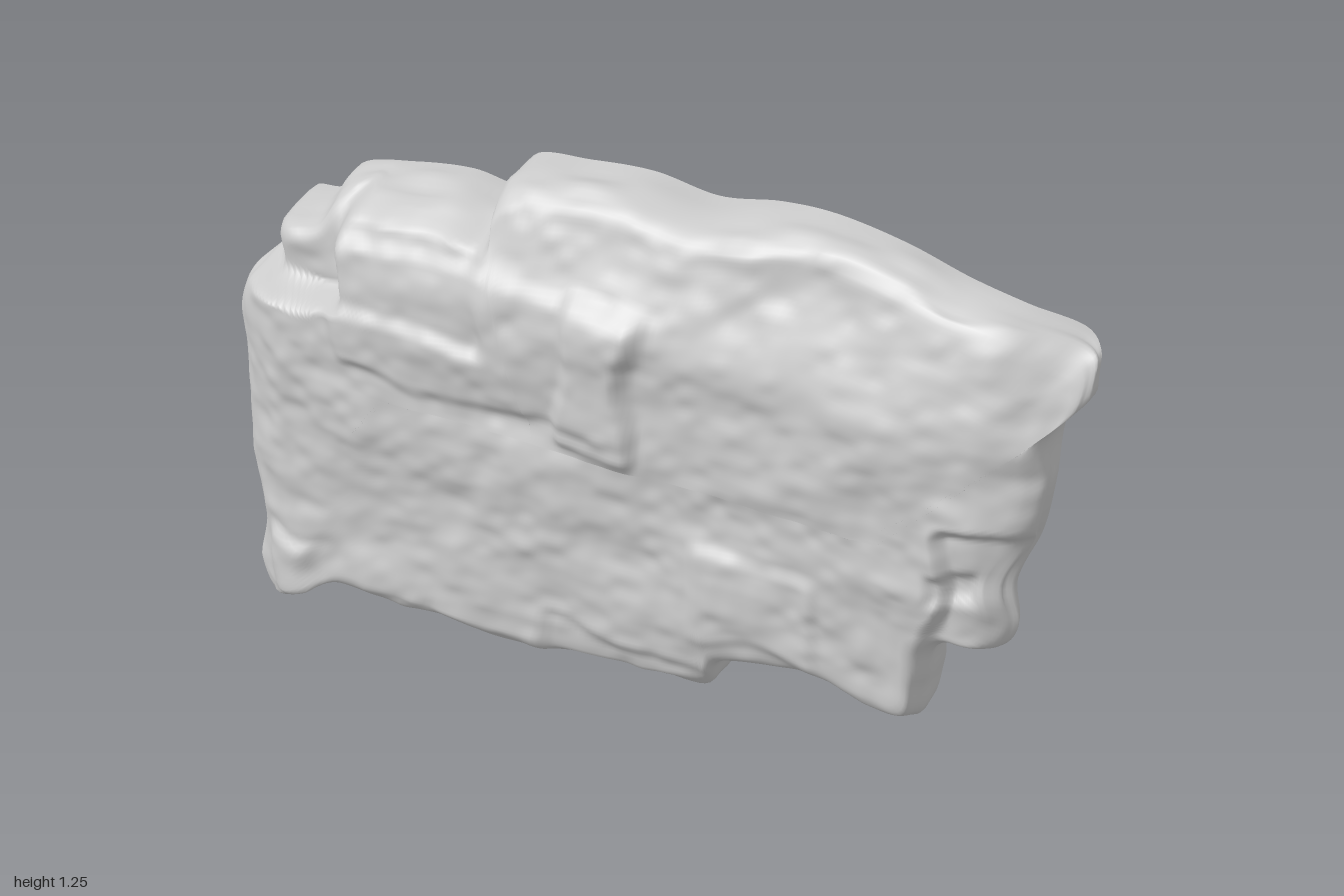
import * as THREE from 'three';

// Rear rim of the rock face, counter-clockwise from the lower tip: [x, y, z]
const RIM = [
  [-0.94, 0, 0.06], [-0.84, 0.04, 0.05], [-0.75, 0.09, 0.03], [-0.55, 0.08, 0.02], [-0.33, 0.07, 0.02],
  [-0.1, 0.09, 0.01], [0.1, 0.1, 0], [0.2, 0.12, 0], [0.23, 0.19, 0.01], [0.3, 0.22, 0.02],
  [0.45, 0.24, 0.04], [0.69, 0.21, 0.03], [0.71, 0.3, -0.01], [0.72, 0.39, 0],
  [0.78, 0.42, 0.03], [0.86, 0.43, 0.03], [0.89, 0.5, 0.04], [0.88, 0.6, 0.04], [0.92, 0.72, 0.02],
  [0.94, 0.85, 0.02], [0.94, 0.98, -0.02], [1, 1.06, -0.01], [1, 1.13, -0.02], [0.95, 1.15, -0.08],
  [0.83, 1.19, -0.05], [0.7, 1.21, -0.06], [0.55, 1.24, -0.08], [0.38, 1.255, -0.1], [0.25, 1.24, -0.12],
  [0.1, 1.21, -0.13], [-0.05, 1.23, -0.13], [-0.2, 1.22, -0.13], [-0.35, 1.19, -0.14], [-0.36, 1.11, -0.14],
  [-0.5, 1.12, -0.14], [-0.65, 1.1, -0.14], [-0.78, 1.07, -0.13], [-0.83, 1, -0.13], [-0.93, 0.96, -0.16],
  [-0.94, 0.88, -0.17], [-0.97, 0.85, -0.1], [-1, 0.8, -0.02], [-0.99, 0.6, 0.05], [-0.99, 0.4, 0.06],
  [-0.97, 0.2, 0.05], [-0.99, 0.06, 0.06],
];

const step = (a, b, v) => THREE.MathUtils.smoothstep(v, a, b);

// Seeded value noise in -1..1
const hash = (i, j) => {
  const s = Math.sin(i * 127.1 + j * 311.7 + 5.3) * 43758.5453;
  return (s - Math.floor(s)) * 2 - 1;
};
function noise(x, y) {
  const i = Math.floor(x), j = Math.floor(y);
  const u = step(0, 1, x - i), v = step(0, 1, y - j);
  const { lerp } = THREE.MathUtils;
  return lerp(lerp(hash(i, j), hash(i + 1, j), u), lerp(hash(i, j + 1), hash(i + 1, j + 1), u), v);
}
const rough = (x, y) =>
  0.011 * noise(x * 5, y * 7) + 0.006 * noise(x * 12 + 9, y * 16) + 0.003 * noise(x * 26, y * 32 + 4);

// A soft-edged rectangular patch: 1 inside, 0 outside, with a wobbly border
function patch(x, y, x0, x1, y0, y1, e = 0.02) {
  const px = x + 0.03 * noise(x * 7 + 3, y * 7), py = y + 0.025 * noise(x * 6, y * 6 + 8);
  return step(x0 - e, x0 + e, px) * (1 - step(x1 - e, x1 + e, px)) *
    step(y0 - e, y0 + e, py) * (1 - step(y1 - e, y1 + e, py));
}

// Depth of the weathered front
function frontZ(x, y) {
  let z = 0.135 + 0.012 * step(0.1, 0.5, x);
  z -= 0.09 * step(0.92, 1.22, y);                         // top leans back
  z -= 0.07 * step(0.78, 1, x) + 0.05 * step(0.85, 1, -x); // ends turn back
  z -= 0.09 * patch(x, y, -1.2, -0.7, 0.86, 1.4);          // set-back shelf, upper left
  z -= 0.02 * patch(x, y, -0.7, -0.36, 0.86, 1.4);         // middle shelf
  z -= 0.03 * patch(x, y, -0.72, -0.36, 1.08, 1.4);
  z += 0.012 * patch(x, y, -0.72, 0.02, 0.72, 1.02);       // overhanging course
  z += 0.02 * patch(x, y, -0.15, 0.03, 0.67, 1.04);        // projecting block
  z += 0.012 * patch(x, y, 0.2, 0.46, 0.28, 0.5);          // lower slab
  z -= 0.035 * patch(x, y, 0.74, 1.1, 0.35, 0.74);         // broken right edge
  z -= 0.02 * patch(x, y, 0.7, 0.82, 0.55, 0.62);
  z += 0.02 * patch(x, y, -0.92, -0.8, 0.05, 0.2);         // foot at the lower tip
  z -= 0.015 * patch(x, y, -0.2, 0.2, 0.05, 0.2);
  return z + rough(x, y);
}

// Open rock shell made of rings from the rear rim, round the edge, to a middle spine
function rockFace() {
  const N = 400, WALL = 14, INNER = 50, EDGE = 0.06;
  const curve = new THREE.CatmullRomCurve3(RIM.map(p => new THREE.Vector3(...p)), true, 'centripetal');
  curve.arcLengthDivisions = 1500;
  const rim = curve.getSpacedPoints(N).slice(0, N);
  const pos = [], index = [];
  for (let j = 0; j <= WALL + INNER; j++) {
    rim.forEach((p, i) => {
      const dx = p.x * 0.6 - p.x, dy = 0.65 - p.y;
      const w = EDGE / Math.hypot(dx, dy);
      const a = Math.min(j / WALL, 1) * Math.PI / 2;
      const k = j <= WALL ? w * (1 - Math.cos(a)) ** 1.3 : w + (1 - w) * (j - WALL) / INNER;
      const rise = Math.sin(a) ** 0.9;
      // ragged strata on the turned edge
      const chip = Math.sin(2 * a) * 0.012 * noise(i * 0.12, j * 0.35);
      const s = k + chip * w / EDGE;
      const x = p.x + dx * s, y = Math.max(0, p.y + dy * s);
      pos.push(THREE.MathUtils.clamp(x, -1, 1), y, p.z + (frontZ(x, y) - p.z) * rise);
    });
  }
  for (let j = 0; j < WALL + INNER; j++) {
    for (let i = 0; i < N; i++) {
      const n = (i + 1) % N, a = j * N + i, b = j * N + n;
      index.push(a, b, b + N, a, b + N, a + N);
    }
  }
  const geo = new THREE.BufferGeometry();
  geo.setAttribute('position', new THREE.Float32BufferAttribute(pos, 3));
  geo.setIndex(index);
  geo.computeVertexNormals();
  return geo;
}

export function createModel() {
  const model = new THREE.Group();
  model.name = 'rockWall';
  const material = new THREE.MeshStandardMaterial({ color: 0xcccccc, side: THREE.DoubleSide });
  const face = new THREE.Mesh(rockFace(), material);
  face.name = 'rockFace';
  model.add(face);
  return model;
}
